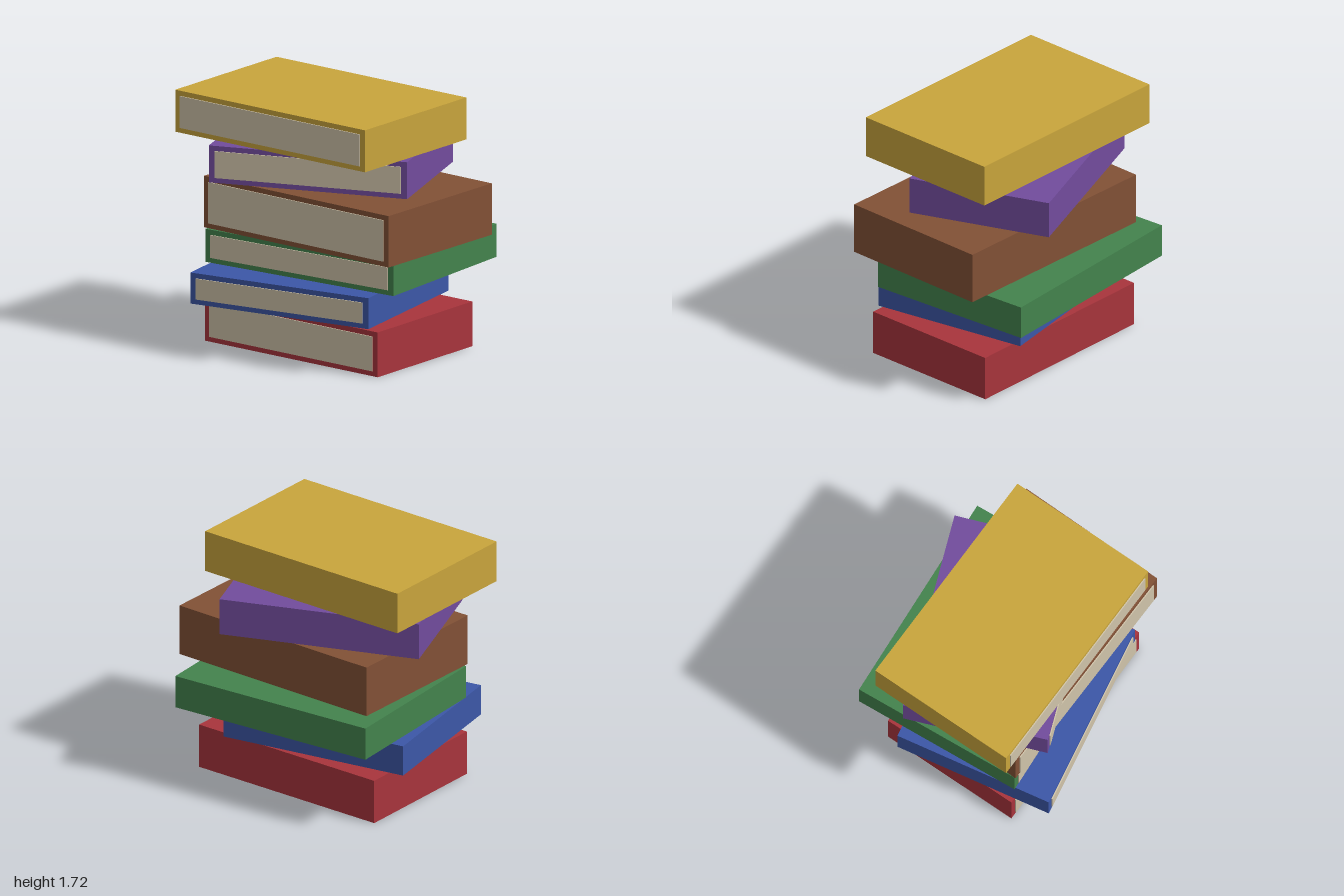
import * as THREE from 'three';

const mat = (name, color) => {
  const m = new THREE.MeshStandardMaterial({ color });
  m.name = name;
  return m;
};

// Books from the bottom up: width, depth, bottom, top, centre x, centre z, turn in degrees
const BOOKS = [
  { name: 'red', color: 0xa8343c, w: 1.476, d: 1.006, y0: 0, y1: 0.309, x: 0.02, z: 0.054, turn: -11.9 },
  { name: 'blue', color: 0x3c57a7, w: 1.352, d: 1.113, y0: 0.323, y1: 0.537, x: -0.09, z: 0.12, turn: -1.8 },
  { name: 'green', color: 0x43834d, w: 1.522, d: 1.209, y0: 0.55, y1: 0.778, x: 0.043, z: -0.085, turn: -7.8 },
  { name: 'brown', color: 0x825136, w: 1.597, d: 1.077, y0: 0.791, y1: 1.146, x: 0.099, z: 0.073, turn: -12.8 },
  { name: 'purple', color: 0x724c9d, w: 1.388, d: 0.995, y0: 1.16, y1: 1.415, x: -0.065, z: 0, turn: 9 },
  { name: 'yellow', color: 0xc9a53c, w: 1.628, d: 1.07, y0: 1.43, y1: 1.72, x: -0.095, z: 0.09, turn: -12.2 },
];
const MARGIN_X = 0.043, MARGIN_Y = 0.035, PAGE_THICK = 0.008;

export function createModel() {
  const stack = new THREE.Group();
  stack.name = 'bookStack';
  const paper = mat('paper', 0xd0c4aa);

  for (const b of BOOKS) {
    const h = b.y1 - b.y0;
    const book = new THREE.Group();
    book.name = `${b.name}Book`;
    book.position.set(b.x, b.y0 + h / 2, b.z);
    book.rotation.y = THREE.MathUtils.degToRad(b.turn);

    // Cover block
    const cover = new THREE.Mesh(new THREE.BoxGeometry(b.w, h, b.d), mat(b.name, b.color));
    cover.name = 'cover';

    // Page edges, a thin plate on the front
    const pages = new THREE.Mesh(
      new THREE.BoxGeometry(b.w - 2 * MARGIN_X, h - 2 * MARGIN_Y, PAGE_THICK), paper);
    pages.name = 'pages';
    pages.position.z = b.d / 2 + PAGE_THICK / 2;

    book.add(cover, pages);
    stack.add(book);
  }
  return stack;
}
